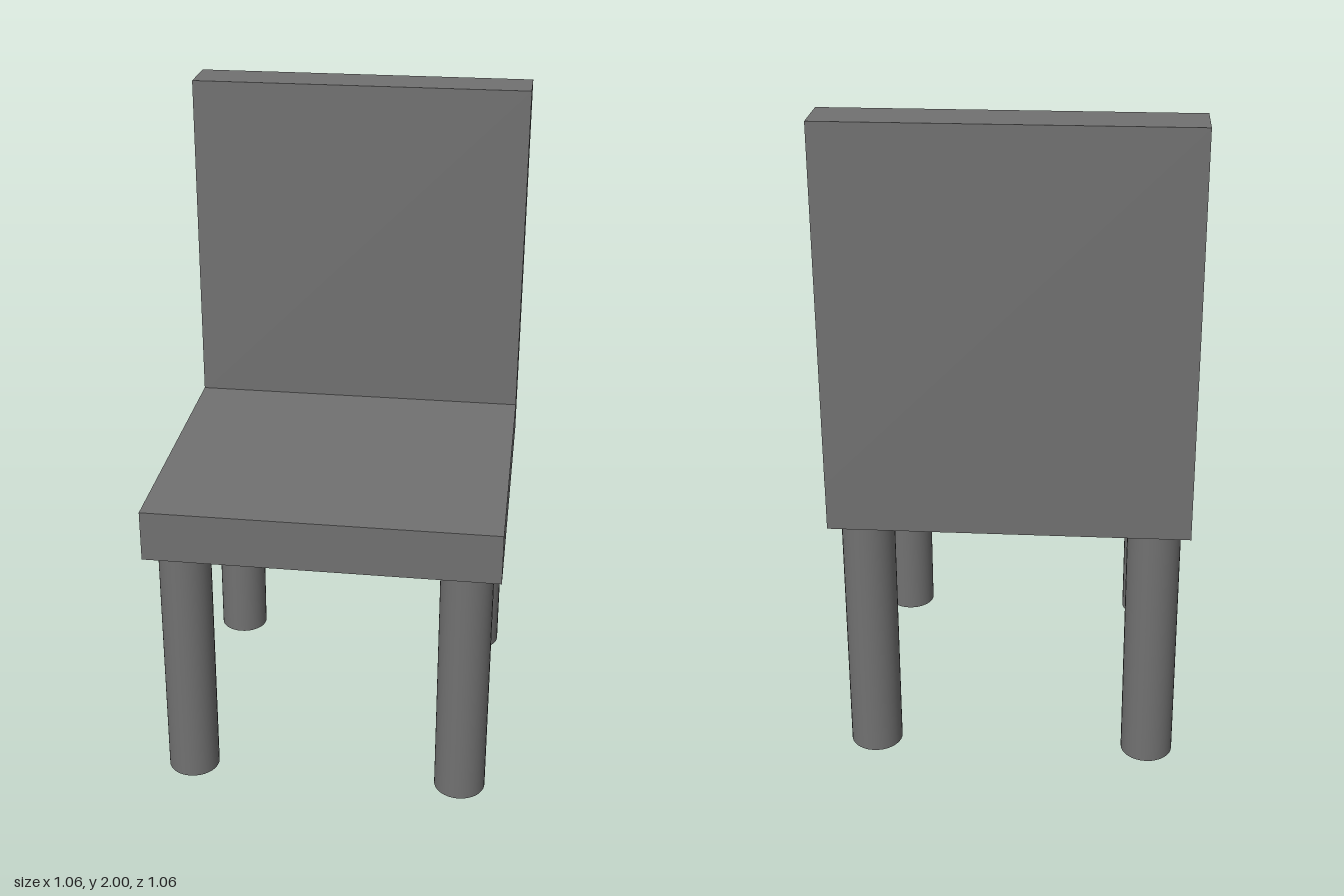
import * as THREE from 'three';

const WIDTH = 1.056; // seat width and depth
const THICK = 0.156; // seat and backrest thickness
const LEG_HEIGHT = 0.795;
const LEG_RADIUS = 0.079;
const LEG_OFFSET = 0.424;
const BACK_BOTTOM = 0.94; // backrest is sunk slightly into the seat

export function createModel() {
  const chair = new THREE.Group();
  chair.name = 'chair';
  const material = new THREE.MeshStandardMaterial({ color: 0x717171 });

  const add = (name, geometry, x, y, z) => {
    const mesh = new THREE.Mesh(geometry, material);
    mesh.name = name;
    mesh.position.set(x, y, z);
    chair.add(mesh);
  };

  // Square seat slab
  add('seat', new THREE.BoxGeometry(WIDTH, THICK, WIDTH), 0, LEG_HEIGHT + THICK / 2, 0.001);

  // Upright backrest, a hair behind the rear edge of the seat
  const backHeight = 2 - BACK_BOTTOM;
  add('backrest', new THREE.BoxGeometry(WIDTH, backHeight, THICK),
    0, BACK_BOTTOM + backHeight / 2, -0.451);

  // Four round legs
  const leg = new THREE.CylinderGeometry(LEG_RADIUS, LEG_RADIUS, LEG_HEIGHT, 32);
  for (const [end, z] of [['front', 1], ['back', -1]]) {
    for (const [side, x] of [['Left', 1], ['Right', -1]]) {
      add(`${end}${side}Leg`, leg, x * LEG_OFFSET, LEG_HEIGHT / 2, z * LEG_OFFSET);
    }
  }

  return chair;
}
